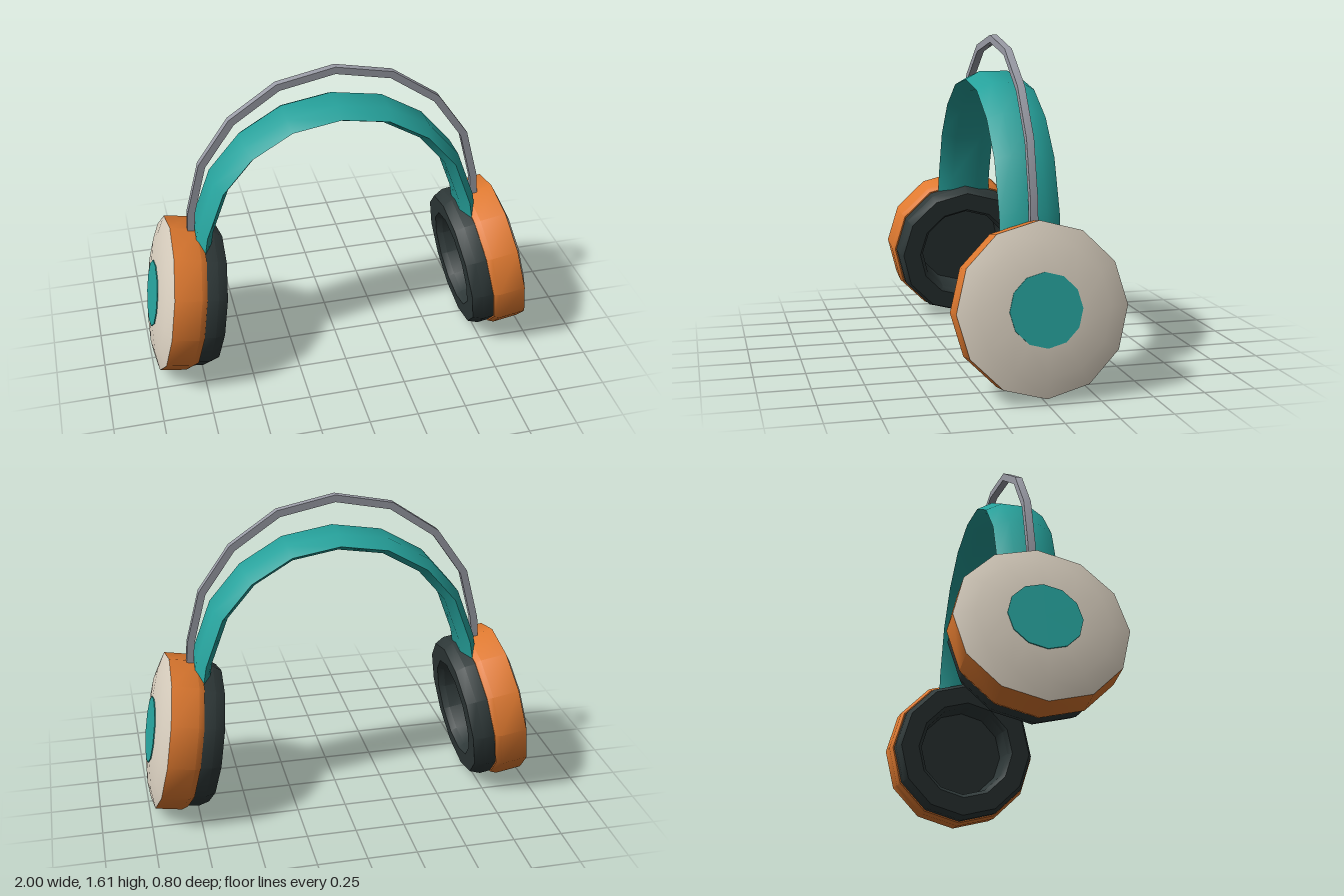
import * as THREE from 'three';
import { toCreasedNormals } from 'three/addons/utils/BufferGeometryUtils.js';

const mat = (name, color) => Object.assign(new THREE.MeshStandardMaterial({ color }), { name });

// Mirrors half a path (top centre first) into a full arch running from -x to +x.
const arch = (half) => [
  ...half.slice(1).reverse().map(([x, y]) => new THREE.Vector2(-x, y)),
  ...half.map(([x, y]) => new THREE.Vector2(x, y)),
];

// Sweeps a closed section of [outward, z] pairs along an arch with mitred joints.
function sweep(path, section) {
  const pos = [], index = [], n = section.length, last = path.length - 1;
  path.forEach((p, i) => {
    const a = path[Math.max(i - 1, 0)], b = path[Math.min(i + 1, last)];
    const t0 = (i ? p.clone().sub(a) : b.clone().sub(p)).normalize();
    const t1 = (i < last ? b.clone().sub(p) : p.clone().sub(a)).normalize();
    const t = t0.clone().add(t1).normalize();
    const miter = 1 / t.dot(t0);
    for (const [out, z] of section) pos.push(p.x - t.y * out * miter, p.y + t.x * out * miter, z);
  });
  for (let i = 0; i < last; i++) {
    for (let j = 0; j < n; j++) {
      const k = (j + 1) % n;
      const a = i * n + j, d = i * n + k, b = a + n, c = d + n;
      index.push(a, d, c, a, c, b);
    }
  }
  for (let j = 1; j < n - 1; j++) {
    index.push(0, j + 1, j, last * n, last * n + j, last * n + j + 1);
  }
  const geo = new THREE.BufferGeometry();
  geo.setAttribute('position', new THREE.Float32BufferAttribute(pos, 3));
  geo.setIndex(index);
  return toCreasedNormals(geo, 0.65);
}

// Twelve-sided turned part from [radius, distance along axis] pairs.
const turned = (profile) => toCreasedNormals(
  new THREE.LatheGeometry(profile.map(([r, a]) => new THREE.Vector2(r, a)), 12), 0.65);

export function createModel() {
  const teal = mat('teal', 0x26a29c);
  const orange = mat('orange', 0xe07a30);
  const cream = mat('cream', 0xd9cfbf);
  const charcoal = mat('charcoal', 0x2e3838);
  const grey = mat('grey', 0x9a9ca6);

  const model = new THREE.Group();
  model.name = 'headphones';
  const add = (parent, name, geo, material) => {
    const mesh = new THREE.Mesh(geo, material);
    mesh.name = name;
    parent.add(mesh);
    return mesh;
  };

  // Padded headband: flattened hexagonal section
  const hexagon = Array.from({ length: 6 }, (_, i) => {
    const angle = Math.PI / 6 + i * Math.PI / 3;
    return [0.046 * Math.cos(angle), 0.145 * Math.sin(angle)];
  });
  add(model, 'headband', sweep(arch([
    [0, 1.4], [0.24, 1.36], [0.442, 1.24], [0.59, 1.065], [0.68, 0.82], [0.705, 0.67],
  ]), hexagon), teal);

  // Thin square bow above the headband
  const w = 0.018;
  add(model, 'upperBow', sweep(arch([
    [0, 1.603], [0.283, 1.545], [0.515, 1.385], [0.67, 1.162], [0.737, 0.9], [0.75, 0.72],
  ]), [[w, -w], [w, w], [-w, w], [-w, -w]]), grey);

  // Ear cup parts, turned around the outward axis
  const shell = turned([[0.36, -0.165], [0.385, -0.165], [0.4, -0.136], [0.4, 0]]);
  const cap = turned([[0.4, 0], [0.312, 0.028], [0.17, 0.046], [0, 0.048]]);
  const cushion = turned([
    [0, -0.1], [0.23, -0.1], [0.24, -0.24], [0.26, -0.272],
    [0.355, -0.272], [0.378, -0.222], [0.378, -0.15],
  ]);
  const disc = new THREE.CylinderGeometry(0.17, 0.17, 0.008, 12);

  for (const [name, turn] of [['left', 0], ['right', Math.PI]]) {
    const side = new THREE.Group();
    side.name = name + 'EarCup';
    side.rotation.y = turn;
    const cup = new THREE.Group();
    cup.name = name + 'CupBody';
    cup.position.set(0.917, 0.424, 0);
    cup.rotation.z = THREE.MathUtils.degToRad(-80);
    add(cup, 'shell', shell, orange);
    add(cup, 'cap', cap, cream);
    add(cup, 'cushion', cushion, charcoal);
    add(cup, 'capDisc', disc, teal).position.y = 0.047;
    side.add(cup);
    model.add(side);
  }
  return model;
}
